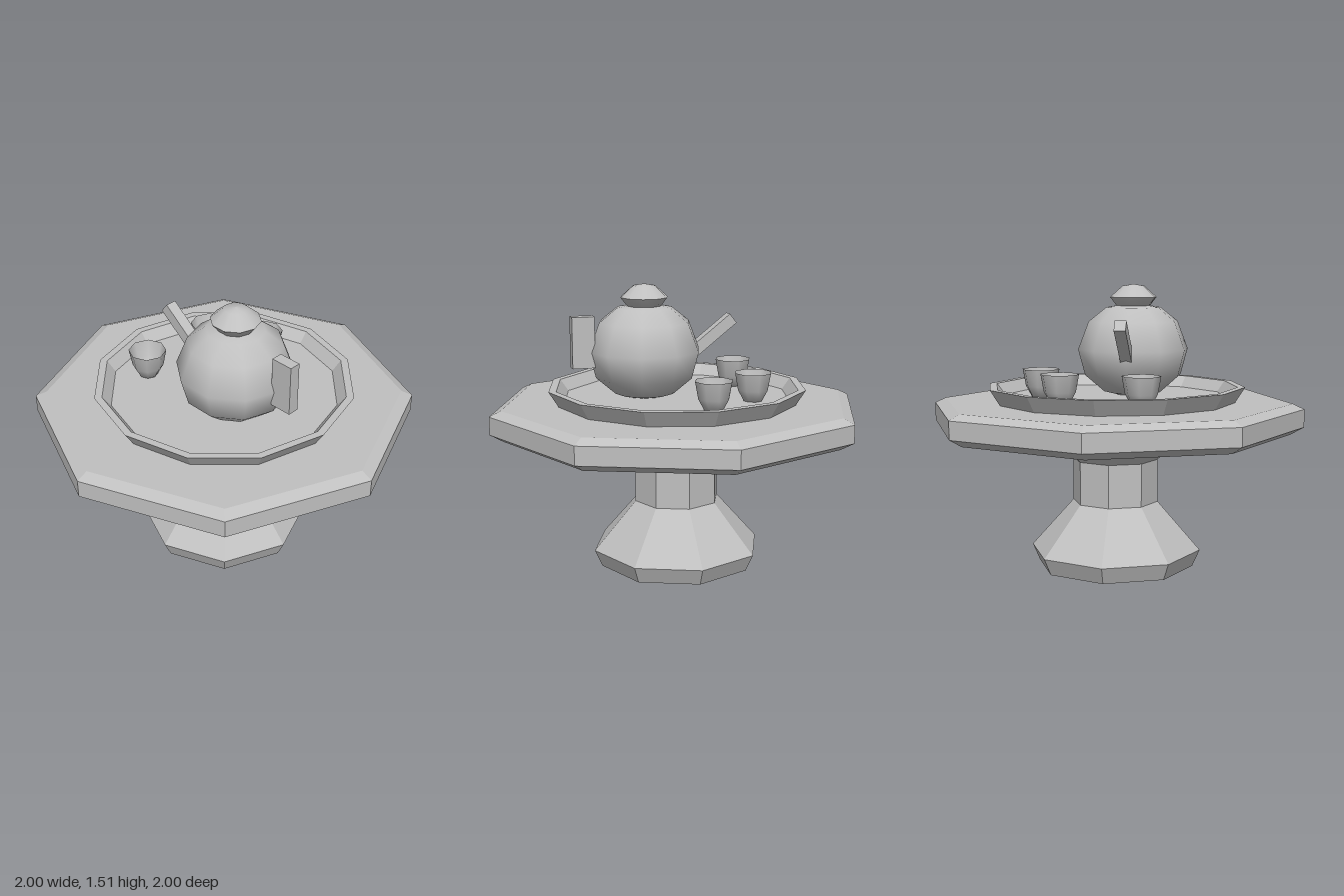
import * as THREE from 'three';

const clay = new THREE.MeshStandardMaterial({ color: 0xc0c0c0 });
clay.name = 'plain grey';

// Revolve [radius, height] pairs; flat facets or smooth normals
function turned(name, profile, sides, flat) {
  let geo = new THREE.LatheGeometry(profile.map(([r, y]) => new THREE.Vector2(r, y)), sides);
  if (flat) {
    geo = geo.toNonIndexed();
    geo.computeVertexNormals();
  }
  const mesh = new THREE.Mesh(geo, clay);
  mesh.name = name;
  return mesh;
}

function box(name, size, position) {
  const mesh = new THREE.Mesh(new THREE.BoxGeometry(...size), clay);
  mesh.name = name;
  mesh.position.set(...position);
  return mesh;
}

// Teapot, built around its own vertical axis
function makeTeapot() {
  const pot = new THREE.Group();
  pot.name = 'teapot';

  const body = turned('teapotBody', [
    [0, 0.89], [0.16, 0.93], [0.265, 1.02], [0.303, 1.16], [0.245, 1.31], [0.15, 1.385], [0, 1.41],
  ], 10, false);
  body.rotation.y = Math.PI / 2;

  const lid = turned('lidKnob', [[0, 1.36], [0.085, 1.385], [0.128, 1.44]], 10, false);
  const cap = turned('lidCap', [[0.128, 1.44], [0.06, 1.5], [0, 1.51]], 10, false);
  lid.rotation.y = cap.rotation.y = Math.PI / 2;

  // Spout rises toward -x
  const spout = box('spout', [0.4, 0.062, 0.06], [-0.331, 1.188, 0]);
  spout.rotation.z = -0.66;

  const handle = box('handle', [0.12, 0.27, 0.06], [0.335, 1.215, 0]);

  pot.add(body, lid, cap, spout, handle);
  pot.position.set(0.155, 0, 0.075);
  return pot;
}

// Cup with an outer and an inner wall
function makeCup(x, z) {
  const cup = new THREE.Group();
  cup.name = 'cup';
  cup.add(
    turned('cupOutside', [[0, 0.91], [0.05, 0.915], [0.083, 0.975], [0.1, 1.065]], 8, false),
    turned('cupInside', [[0.1, 1.065], [0.078, 0.98], [0.045, 0.925], [0, 0.92]], 8, false),
  );
  cup.position.set(x, 0, z);
  return cup;
}

export function createModel() {
  const model = new THREE.Group();
  model.name = 'teaTable';

  // Octagonal pedestal and table top
  model.add(turned('pedestal', [
    [0, 0], [0.42, 0], [0.46, 0.09], [0.23, 0.35], [0.23, 0.58], [0.385, 0.735],
  ], 8, true));
  model.add(turned('tableTop', [
    [0, 0.73], [0.93, 0.73], [1, 0.77], [1, 0.865], [0.94, 0.893], [0, 0.893],
  ], 8, true));

  // Twelve-sided tray with a raised rim
  model.add(turned('tray', [
    [0, 0.88], [0.63, 0.88], [0.69, 0.975], [0.65, 0.975], [0.605, 0.915], [0, 0.915],
  ], 12, true));

  model.add(makeTeapot());
  for (const [x, z] of [[-0.347, -0.232], [-0.078, -0.388], [-0.385, 0.19]]) {
    model.add(makeCup(x, z));
  }
  return model;
}
